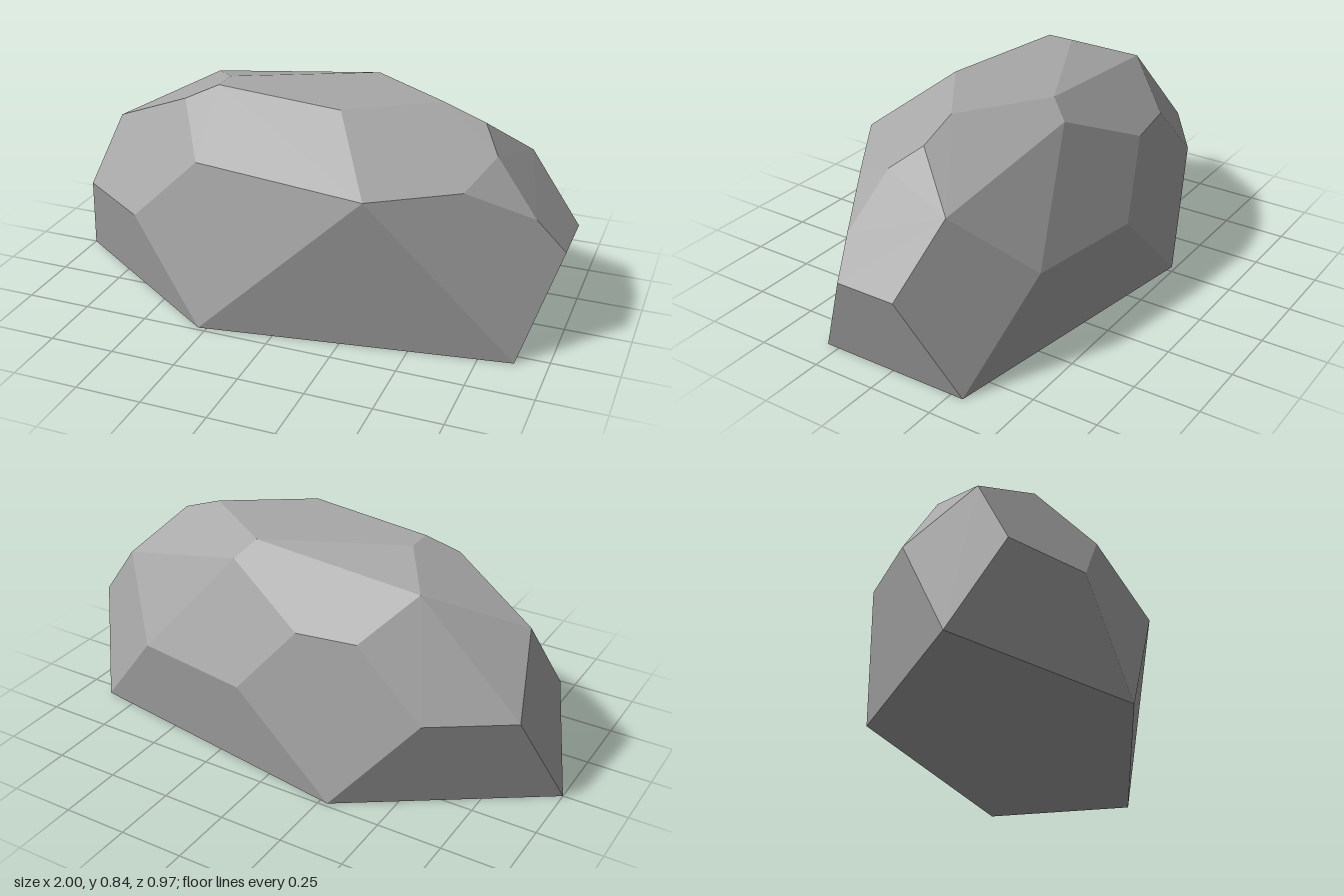
import * as THREE from 'three';
import { ConvexGeometry } from 'three/addons/geometries/ConvexGeometry.js';

// Faceted boulder: a stretched icosahedron standing on its lower ring, with its corners chipped off.
export function createModel() {
  const group = new THREE.Group();
  group.name = 'boulder';
  const stone = new THREE.MeshStandardMaterial({ color: 0xa8a8a8 });
  stone.name = 'stone grey';

  const ringPoint = (degrees, y) => {
    const a = THREE.MathUtils.degToRad(degrees);
    return new THREE.Vector3(0.039 + 1.039 * Math.cos(a), y, 0.51 * Math.sin(a));
  };
  const between = (a, b, t) => a.clone().lerp(b, t);

  // Uncut corners: ground ring, upper ring and peak
  const [groundFront, groundLeft, groundBackLeft, groundBackRight, groundTip] =
    [108, 36, -36, -108, 180].map((d) => ringPoint(d, 0));
  const [front, left, back, rightBack, rightFront] =
    [72, 0, -72, -144, 144].map((d) => ringPoint(d, 0.625));
  const peak = new THREE.Vector3(0.039, 1.011, 0);

  const points = [groundFront, groundLeft, groundBackLeft, groundBackRight, groundTip, front];

  // Chip a corner: one new point along each edge leaving it
  const chip = (corner, ends, t) => ends.forEach((end) => points.push(between(corner, end, t)));
  chip(left, [groundLeft, groundBackLeft, back], 0.392);
  chip(back, [groundBackLeft, groundBackRight, rightBack, peak], 0.402);
  chip(rightBack, [groundTip, groundBackRight, back], 0.402);
  chip(rightBack, [peak], 0.385);
  chip(rightFront, [groundTip, groundFront, front, peak, rightBack], 0.415);

  // Flattened peak, its back right corner worn away
  chip(peak, [front, left, back, rightFront], 0.443);
  const topRight = between(peak, rightFront, 0.443);
  points.push(new THREE.Vector3(topRight.x, topRight.y, 0.03));

  // Small extra chip beside the left corner
  const cutLow = between(left, groundLeft, 0.392);
  const cutHigh = between(left, peak, 0.405);
  const cutFront = between(left, front, 0.392);
  points.push(cutHigh, between(left, front, 0.583),
    between(cutLow, cutFront, 0.52), between(cutHigh, cutFront, 0.52));

  const rock = new THREE.Mesh(new ConvexGeometry(points), stone);
  rock.name = 'rock';
  group.add(rock);
  return group;
}
